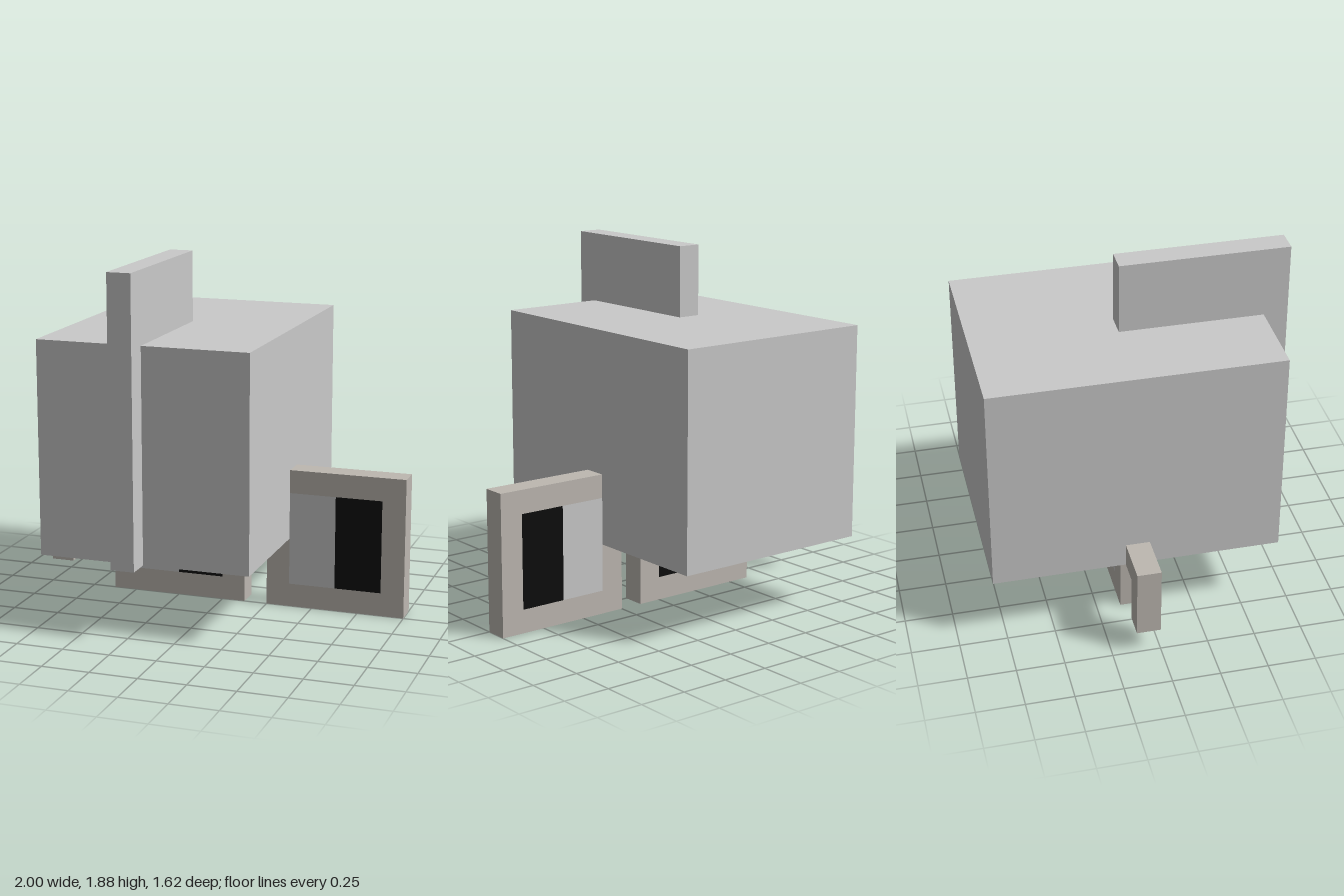
import * as THREE from 'three';

const grey = new THREE.MeshStandardMaterial({ color: 0xc9c9c9 });
grey.name = 'lightGrey';
const taupe = new THREE.MeshStandardMaterial({ color: 0xbdb8b1 });
taupe.name = 'warmGrey';
const black = new THREE.MeshStandardMaterial({ color: 0x0d0d0d });
black.name = 'black';

const U = 0.125; // one block
const BACK = -U, FRONT = 0; // depth of the glasses

// Box given by its minimum and maximum corners
function block(name, material, [x0, y0, z0], [x1, y1, z1]) {
  const mesh = new THREE.Mesh(new THREE.BoxGeometry(x1 - x0, y1 - y0, z1 - z0), material);
  mesh.position.set((x0 + x1) / 2, (y0 + y1) / 2, (z0 + z1) / 2);
  mesh.name = name;
  return mesh;
}

// Square rim filled with a pale half and a dark half, flush on both faces
function eyepiece(name, x) {
  const group = new THREE.Group();
  group.name = name;
  const size = 6 * U;
  const outline = new THREE.Shape([[0, 0], [size, 0], [size, size], [0, size]].map(p => new THREE.Vector2(...p)));
  const a = U, b = 5 * U;
  outline.holes.push(new THREE.Path([[a, a], [a, b], [b, b], [b, a]].map(p => new THREE.Vector2(...p))));
  const rim = new THREE.Mesh(new THREE.ExtrudeGeometry(outline, { depth: U, bevelEnabled: false }), taupe);
  rim.position.set(x, 0, BACK);
  rim.name = 'rim';
  group.add(
    rim,
    block('eyeWhite', grey, [x + U, U, BACK], [x + 3 * U, 5 * U, FRONT]),
    block('pupil', black, [x + 3 * U, U, BACK], [x + 5 * U, 5 * U, FRONT])
  );
  return group;
}

export function createModel() {
  const model = new THREE.Group();
  model.name = 'blockHeadWithGlasses';

  // Head block and the fin running over its top and front
  model.add(
    block('head', grey, [-0.75, 0.375, -0.8125], [0.375, 1.5, 0.6875]),
    block('fin', grey, [-0.3125, 0.375, -0.0625], [-0.1875, 1.875, 0.8125])
  );

  // Glasses: two eyepieces, bridge, and a bent arm on the right
  const glasses = new THREE.Group();
  glasses.name = 'glasses';
  glasses.add(
    eyepiece('leftEyepiece', 0.25),
    eyepiece('rightEyepiece', -0.625),
    block('bridge', taupe, [0.125, 3 * U, BACK], [0.25, 4 * U, FRONT]),
    block('arm', taupe, [-1, 3 * U, BACK], [-0.625, 4 * U, FRONT]),
    block('armTip', taupe, [-1, U, BACK], [-0.875, 3 * U, FRONT])
  );
  model.add(glasses);
  return model;
}
